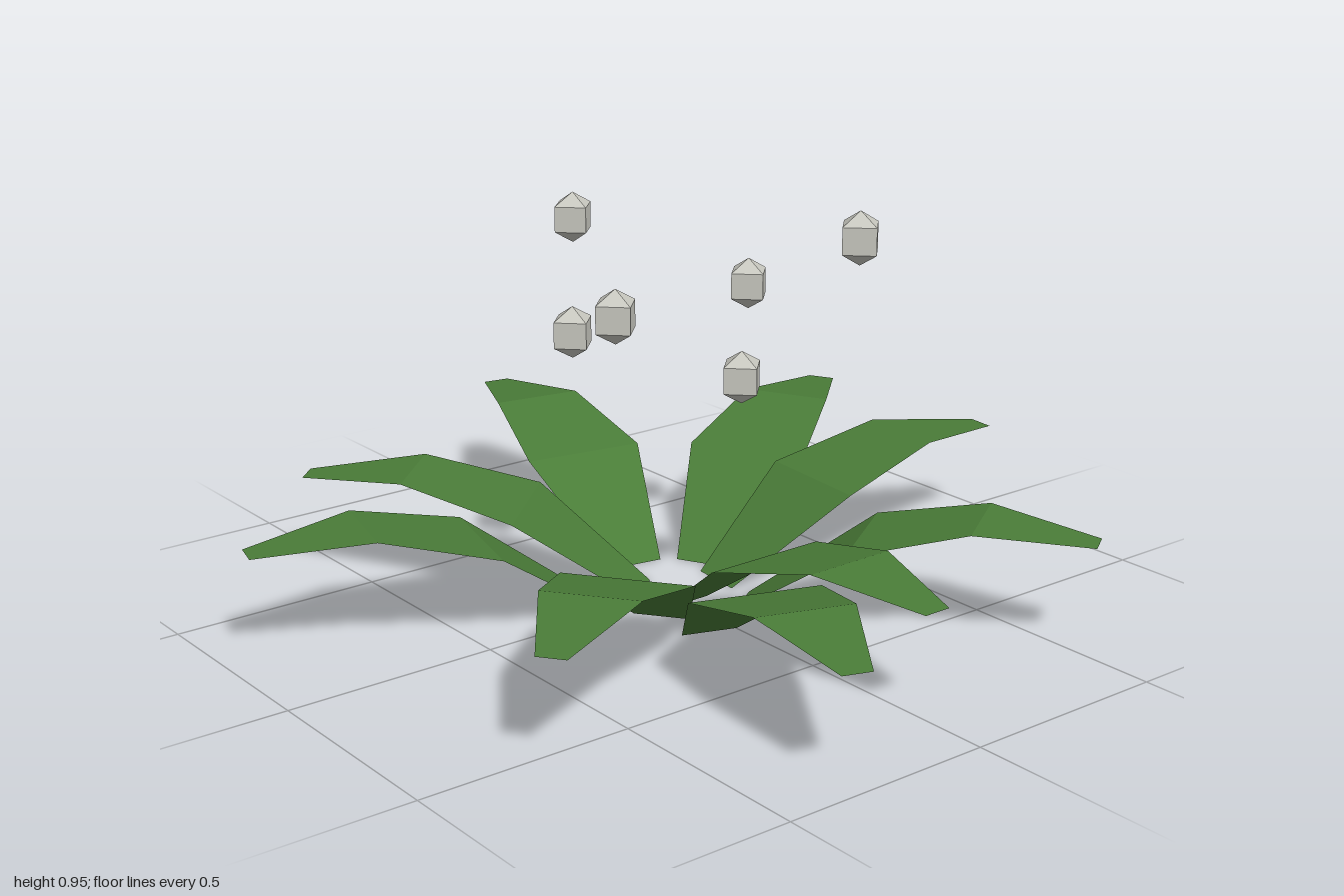
import * as THREE from 'three';

const leafGreen = new THREE.MeshStandardMaterial({ color: 0x4a7c38, flatShading: true, side: THREE.DoubleSide });
leafGreen.name = 'leaf green';
const paleGrey = new THREE.MeshStandardMaterial({ color: 0xc8c8c0, flatShading: true });
paleGrey.name = 'pale grey';

// Leaf cross-sections: distance from the base, height, width
const SECTIONS = [
  [0, 0, 0.13],
  [0.28, 0.2, 0.3],
  [0.55, 0.27, 0.22],
  [0.81, 0.245, 0.066],
];

// Leaves: base x, base z, tip x, tip z
const LEAVES = [
  [0.055, 0, 0.86, -0.003],
  [0.22, 0.06, 0.985, 0.325],
  [0.085, 0.09, 0.573, 0.738],
  [-0.07, 0.153, -0.272, 0.937],
  [-0.06, 0.025, -0.648, 0.567],
  [-0.205, -0.06, -0.993, -0.195],
  [-0.113, -0.187, -0.49, -0.905],
  [-0.01, -0.147, 0.055, -0.947],
  [0.13, -0.107, 0.81, -0.545],
];

// Floating beads: x, y, z
const BEADS = [
  [-0.38, 0.83, -0.01],
  [0.395, 0.895, -0.205],
  [0.193, 0.763, 0.295],
  [-0.042, 0.698, -0.265],
  [-0.145, 0.632, 0.163],
  [0.183, 0.563, -0.058],
];

// Flat strip bent through the cross-sections, growing along +x
function leafGeometry() {
  const geometry = new THREE.PlaneGeometry(1, 1, 1, SECTIONS.length - 1);
  const position = geometry.attributes.position;
  for (let i = 0; i < position.count; i++) {
    const [distance, height, width] = SECTIONS[Math.floor(i / 2)];
    position.setXYZ(i, distance, height, -position.getX(i) * width);
  }
  const faceted = geometry.toNonIndexed();
  faceted.computeVertexNormals();
  return faceted;
}

export function createModel() {
  const model = new THREE.Group();
  model.name = 'plant';

  // Rosette of leaves
  const leaves = new THREE.Group();
  leaves.name = 'leaves';
  const blade = leafGeometry();
  LEAVES.forEach(([bx, bz, tx, tz], i) => {
    const leaf = new THREE.Mesh(blade, leafGreen);
    leaf.name = `leaf${i + 1}`;
    leaf.position.set(bx, 0, bz);
    leaf.rotation.y = -Math.atan2(tz - bz, tx - bx);
    leaves.add(leaf);
  });
  model.add(leaves);

  // Faceted beads hovering above the leaves
  const beads = new THREE.Group();
  beads.name = 'beads';
  const beadGeometry = new THREE.SphereGeometry(0.06, 4, 3);
  BEADS.forEach((place, i) => {
    const bead = new THREE.Mesh(beadGeometry, paleGrey);
    bead.name = `bead${i + 1}`;
    bead.position.set(...place);
    beads.add(bead);
  });
  model.add(beads);

  return model;
}
